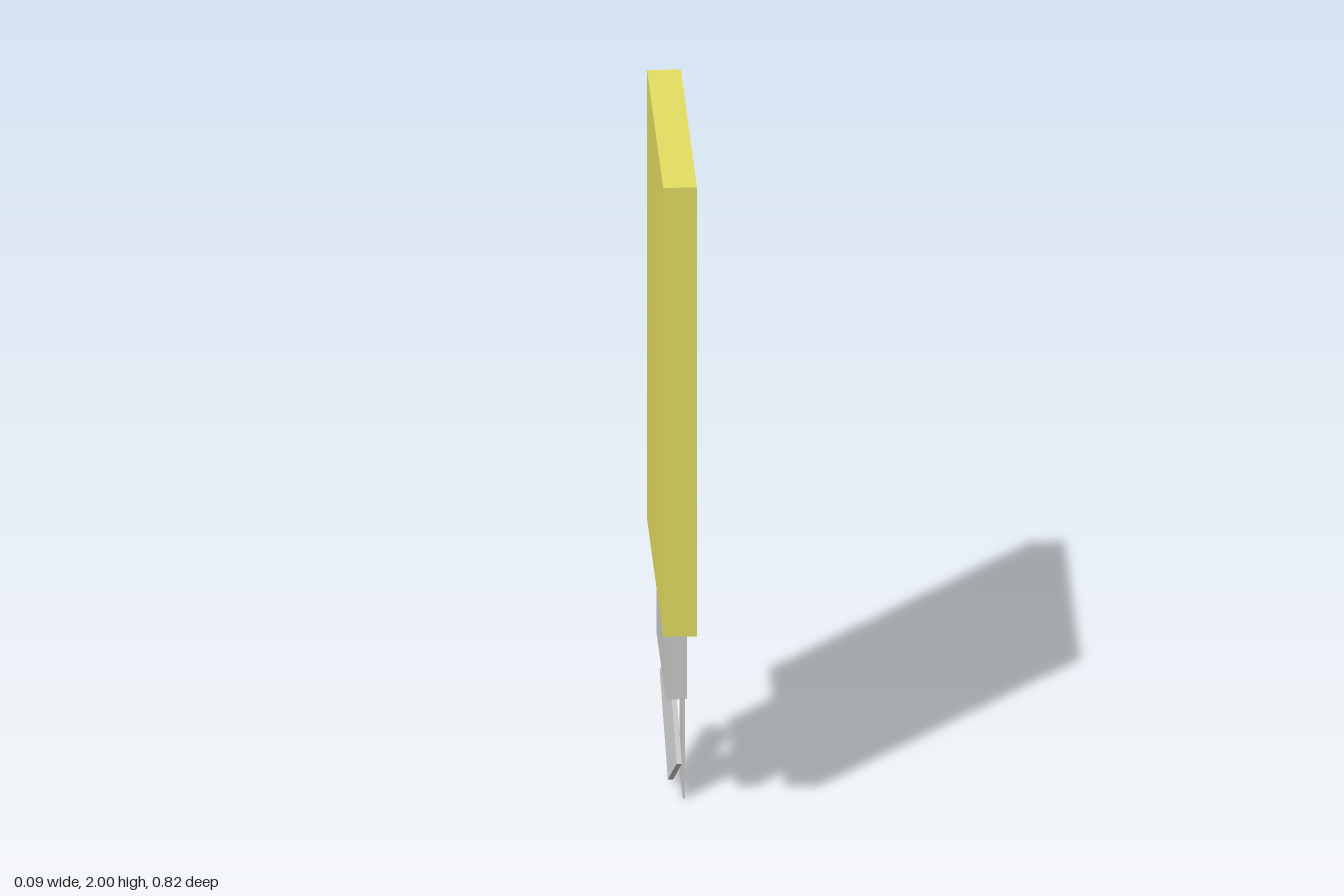
import * as THREE from 'three';

const grey = new THREE.MeshStandardMaterial({ color: 0xcccccc });
const yellow = new THREE.MeshStandardMaterial({ color: 0xe5de62 });

// Box given by its extents along each axis
function box(name, [x0, x1], [y0, y1], [z0, z1], material) {
  const mesh = new THREE.Mesh(new THREE.BoxGeometry(x1 - x0, y1 - y0, z1 - z0), material);
  mesh.position.set((x0 + x1) / 2, (y0 + y1) / 2, (z0 + z1) / 2);
  mesh.name = name;
  return mesh;
}

export function createModel() {
  const model = new THREE.Group();
  model.name = 'panelOnStem';

  // Tall panel, the collar block under it and the thin stem on the collar's left face
  model.add(box('panel', [-0.047, 0.047], [0.635, 2], [-0.41, 0.41], yellow));
  model.add(box('collar', [-0.03, 0.029], [0.365, 0.635], [-0.228, 0.228], grey));
  model.add(box('stem', [0.026, 0.031], [0, 0.53], [-0.085, 0.085], grey));

  // Slanted arm: a thin plate leaning back from the foot of the stem
  const along = new THREE.Vector3(-0.01, 0.23, -0.235);
  const across = new THREE.Vector3(0.02, 0.08, 0.08);
  const size = [0.015, along.length(), across.length()];
  along.normalize();
  const normal = new THREE.Vector3().crossVectors(along, across).normalize();
  across.crossVectors(normal, along);
  const arm = new THREE.Mesh(new THREE.BoxGeometry(...size), grey);
  arm.quaternion.setFromRotationMatrix(new THREE.Matrix4().makeBasis(normal, along, across));
  arm.position.set(0.003, 0.16, -0.118);
  arm.name = 'arm';
  model.add(arm);

  return model;
}
